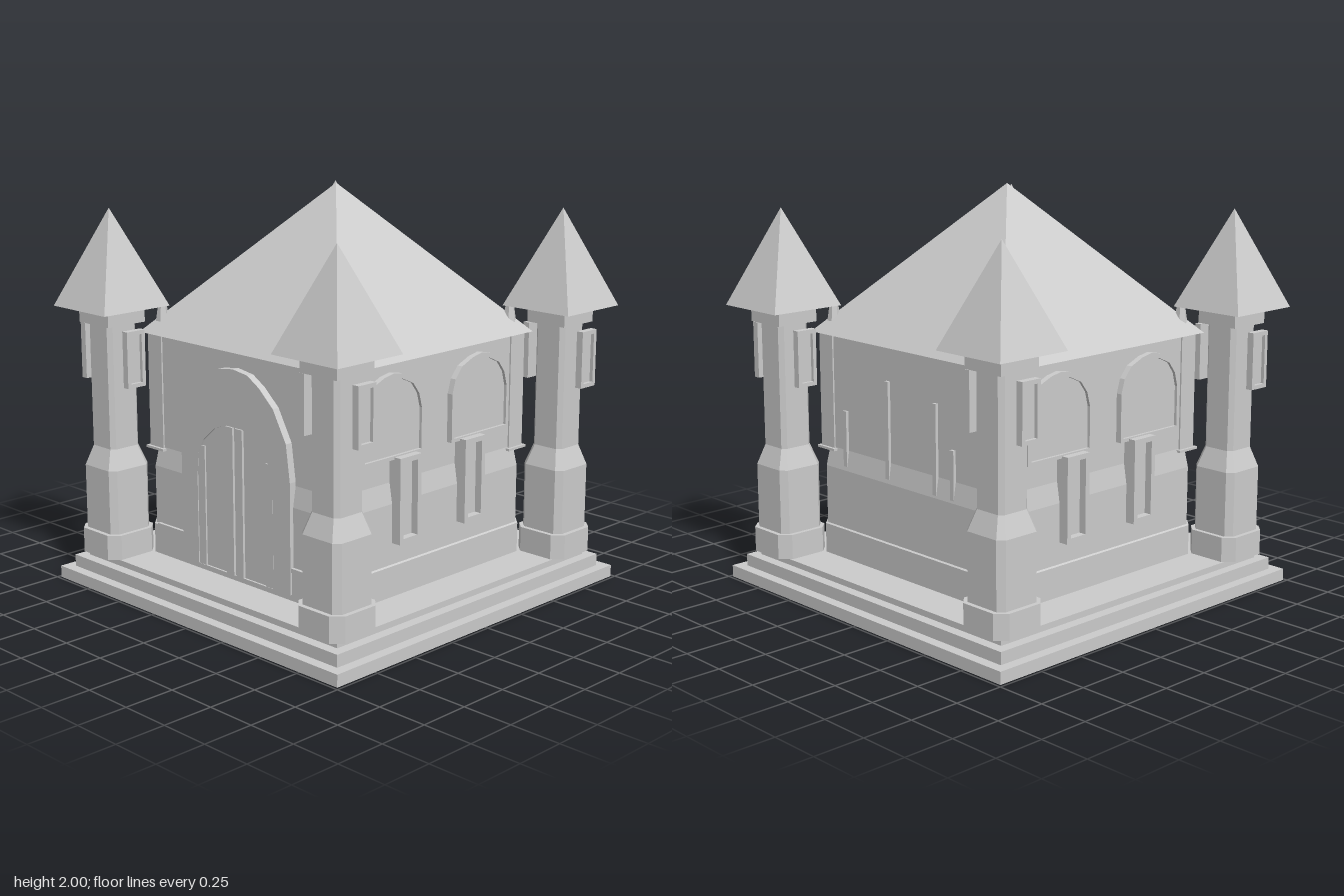
import * as THREE from 'three';

const mat = new THREE.MeshStandardMaterial({ color: 0xcccccc, flatShading: true });

function add(parent, name, geometry, x = 0, y = 0, z = 0) {
  const mesh = new THREE.Mesh(geometry, mat);
  mesh.name = name;
  mesh.position.set(x, y, z);
  parent.add(mesh);
  return mesh;
}

function addBox(parent, name, w, h, d, x, y, z) {
  return add(parent, name, new THREE.BoxGeometry(w, h, d), x, y, z);
}

// Lofts chamfered squares; each section is [y, half width, chamfer]
function loftChamfered(sections) {
  const pos = [], idx = [], n = 8;
  for (const [y, h, c] of sections) {
    const k = h - c;
    for (const [x, z] of [[h, k], [k, h], [-k, h], [-h, k], [-h, -k], [-k, -h], [k, -h], [h, -k]]) pos.push(x, y, z);
  }
  for (let s = 0; s < sections.length - 1; s++) {
    for (let i = 0; i < n; i++) {
      const a = s * n + i, b = s * n + (i + 1) % n;
      idx.push(a, a + n, b, b, a + n, b + n);
    }
  }
  const top = (sections.length - 1) * n;
  for (let i = 1; i < n - 1; i++) {
    idx.push(0, i, i + 1);
    idx.push(top, top + i + 1, top + i);
  }
  const g = new THREE.BufferGeometry();
  g.setAttribute('position', new THREE.Float32BufferAttribute(pos, 3));
  g.setIndex(idx);
  const flat = g.toNonIndexed();
  flat.computeVertexNormals();
  return flat;
}

// Square pyramid standing on y = 0
function pyramid(half, height) {
  return new THREE.ConeGeometry(half * Math.SQRT2, height, 4).rotateY(Math.PI / 4).translate(0, height / 2, 0);
}

// Closed outline from its right half, listed from bottom to top
function mirrored(points, Type = THREE.Shape) {
  const pts = points.map(([x, y]) => new THREE.Vector2(x, y));
  const left = points.filter(p => p[0] > 0).reverse().map(([x, y]) => new THREE.Vector2(-x, y));
  return new Type([...pts, ...left]);
}

function extrude(shape, depth) {
  return new THREE.ExtrudeGeometry(shape, { depth, bevelEnabled: false });
}

// Rectangular window facing +z with its back at z = 0
function framedWindow(name, w, h, depth, rim) {
  const g = new THREE.Group();
  g.name = name;
  const frame = mirrored([[w / 2, -h / 2], [w / 2, h / 2]]);
  frame.holes.push(mirrored([[w / 2 - rim, -h / 2 + rim], [w / 2 - rim, h / 2 - rim]], THREE.Path));
  add(g, 'windowFrame', extrude(frame, depth));
  addBox(g, 'windowPane', w - rim * 2, h - rim * 2, depth * 0.5, 0, 0, depth * 0.25);
  return g;
}

function place(parent, child, x, y, z, turn) {
  child.position.set(x, y, z);
  child.rotation.y = turn;
  parent.add(child);
}

function makeTower(sx, sz) {
  const tower = new THREE.Group();
  tower.name = 'cornerTower';
  add(tower, 'towerFoot', loftChamfered([[0.15, 0.145, 0.05], [0.275, 0.145, 0.05]]));
  add(tower, 'towerShaft', loftChamfered([
    [0.27, 0.122, 0.03], [0.6, 0.122, 0.03], [0.7, 0.087, 0.021], [1.33, 0.087, 0.021]]));
  addBox(tower, 'towerCollar', 0.226, 0.08, 0.226, 0, 1.36, 0);
  add(tower, 'towerRoof', pyramid(0.2, 0.48), 0, 1.4, 0);
  // Hanging windows on the outer and inner sides
  for (const s of [-1, 1]) {
    place(tower, framedWindow('towerWindow', 0.11, 0.28, 0.035, 0.02), s * 0.147, 1.16, 0, s * Math.PI / 2);
  }
  tower.position.set(sx * 0.775, 0, sz * 0.775);
  return tower;
}

const windowArch = (r, base, top) => mirrored([
  [r, base], [r, top - 0.17], [r * 0.9, top - 0.1], [r * 0.68, top - 0.045], [r * 0.3, top - 0.012], [0, top]]);
const windowArchHole = (r, base, top) => new THREE.Path(windowArch(r, base, top).getPoints());

export function createModel() {
  const model = new THREE.Group();
  model.name = 'castle';

  // Stepped base
  [[0.985, 0, 0.06], [0.932, 0.06, 0.12], [0.88, 0.12, 0.15]].forEach(([h, y0, y1]) =>
    addBox(model, 'baseStep', h * 2, y1 - y0, h * 2, 0, (y0 + y1) / 2, 0));
  addBox(model, 'floor', 1.24, 0.03, 1.24, 0, 0.165, 0);

  // Hall with a thicker lower wall
  add(model, 'hallWalls', loftChamfered([
    [0.15, 0.672, 0.06], [0.3, 0.672, 0.06], [0.305, 0.662, 0.055],
    [0.6, 0.662, 0.055], [0.7, 0.645, 0.05], [1.28, 0.645, 0.05]]));
  add(model, 'hallRoof', pyramid(0.682, 0.73), 0, 1.27, 0);

  for (const sx of [-1, 1]) {
    for (const sz of [-1, 1]) {
      model.add(makeTower(sx, sz));
      // Corner trim between hall and tower
      const trim = new THREE.Group();
      trim.name = 'cornerTrim';
      addBox(trim, 'cornerPost', 0.1, 0.6, 0.1, 0.603, 0.98, 0.603);
      addBox(trim, 'cornerLedge', 0.13, 0.012, 0.13, 0.603, 0.69, 0.603);
      add(trim, 'cornerFoot', new THREE.CylinderGeometry(0.035, 0.05, 0.18, 8), 0.605, 0.24, 0.605);
      add(trim, 'cornerBracket', new THREE.CylinderGeometry(0.022, 0.045, 0.14, 6), 0.6, 1.33, 0.6);
      trim.rotation.y = Math.atan2(sx, sz) - Math.PI / 4;
      model.add(trim);
    }
  }

  // Two arched and two rectangular windows on each side wall
  for (const side of [-1, 1]) {
    for (const s of [-1, 1]) {
      const arch = new THREE.Group();
      arch.name = 'archedWindow';
      const frame = windowArch(0.21, 0.815, 1.222);
      frame.holes.push(windowArchHole(0.19, 0.832, 1.2));
      add(arch, 'archFrame', extrude(frame, 0.045));
      add(arch, 'archPane', extrude(windowArch(0.19, 0.832, 1.2), 0.03));
      place(model, arch, side * 0.63, 0, s * 0.307, side * Math.PI / 2);
      place(model, framedWindow('sideWindow', 0.145, 0.415, 0.075, 0.025), side * 0.638, 0.618, s * 0.228, side * Math.PI / 2);
    }
  }

  // Front doorway
  const entrance = new THREE.Group();
  entrance.name = 'entrance';
  const doorPoints = [[0.265, 0.18], [0.265, 0.62], [0.255, 0.74], [0.22, 0.81], [0.14, 0.88], [0.06, 0.912]];
  const surround = mirrored([
    [0.38, 0.18], [0.38, 0.72], [0.355, 0.9], [0.27, 1.05], [0.18, 1.13], [0.1, 1.178], [0, 1.192]]);
  surround.holes.push(mirrored(doorPoints, THREE.Path));
  add(entrance, 'doorSurround', extrude(surround, 0.06), 0, 0, 0.622);
  add(entrance, 'door', extrude(mirrored(doorPoints), 0.05), 0, 0, 0.622);
  for (const s of [-1, 1]) {
    addBox(entrance, 'doorPlank', 0.05, 0.6, 0.02, s * 0.237, 0.48, 0.67);
    addBox(entrance, 'doorPlank', 0.052, 0.728, 0.02, s * 0.033, 0.545, 0.674);
    addBox(entrance, 'lowWallLedge', 0.2, 0.02, 0.02, s * 0.48, 0.3, 0.668);
  }
  model.add(entrance);

  // Narrow vertical ribs on the back wall
  for (const [x, y0, y1] of [[0.46, 0.62, 0.9], [0.14, 0.62, 1.1], [-0.2, 0.6, 1.05], [-0.32, 0.6, 0.85], [-0.52, 0.6, 1.02]]) {
    addBox(model, 'backRib', 0.025, y1 - y0, 0.03, x, (y0 + y1) / 2, -0.645);
  }
  return model;
}
